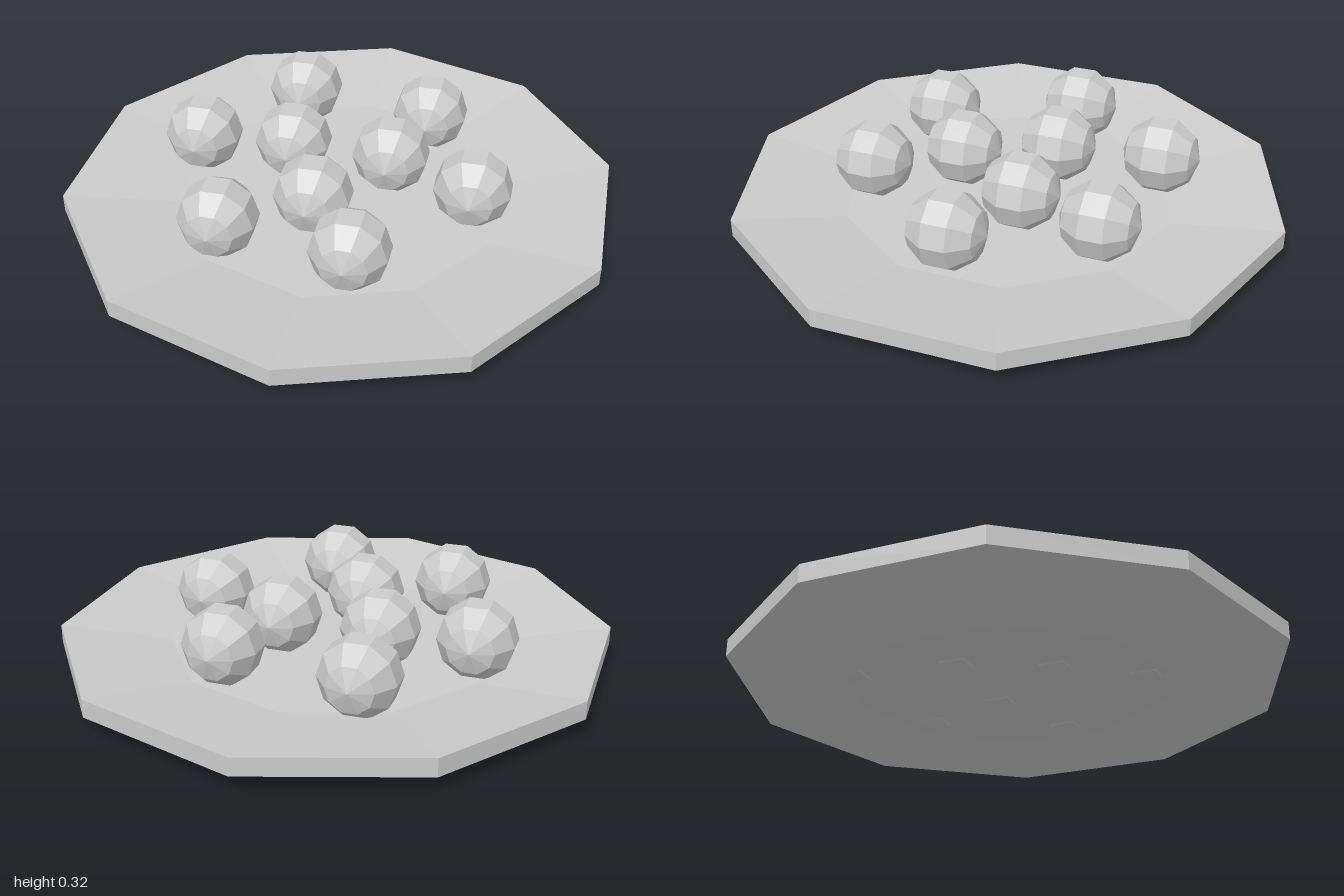
import * as THREE from 'three';

export function createModel() {
  const model = new THREE.Group();
  const material = new THREE.MeshStandardMaterial({ color: 0xcccccc, flatShading: true });
  const shellMaterial = material.clone();
  shellMaterial.side = THREE.DoubleSide;

  // Ten-sided shallow plate: a hollow shell, open underneath
  const profile = [[0.6, 0], [1, 0.057], [1, 0.122], [0.6, 0.07], [0, 0.07]]
    .map(([r, y]) => new THREE.Vector2(r, y));
  const plate = new THREE.Mesh(new THREE.LatheGeometry(profile, 10), shellMaterial);
  plate.name = 'plate';
  model.add(plate);

  // Low-poly balls with poles along z, resting just through the plate floor
  const ballGeometry = new THREE.SphereGeometry(0.143, 10, 5).rotateX(Math.PI / 2);
  const spots = [
    [-0.25, -0.5], [0.26, -0.42], [-0.545, -0.1],
    [-0.205, -0.12], [0.165, -0.105], [0.485, 0.04],
    [-0.055, 0.195], [-0.34, 0.395], [0.135, 0.47],
  ];
  const balls = new THREE.Group();
  balls.name = 'balls';
  spots.forEach(([x, z], i) => {
    const ball = new THREE.Mesh(ballGeometry, material);
    ball.name = `ball${i + 1}`;
    ball.position.set(x, 0.195, z);
    balls.add(ball);
  });
  model.add(balls);

  return model;
}
